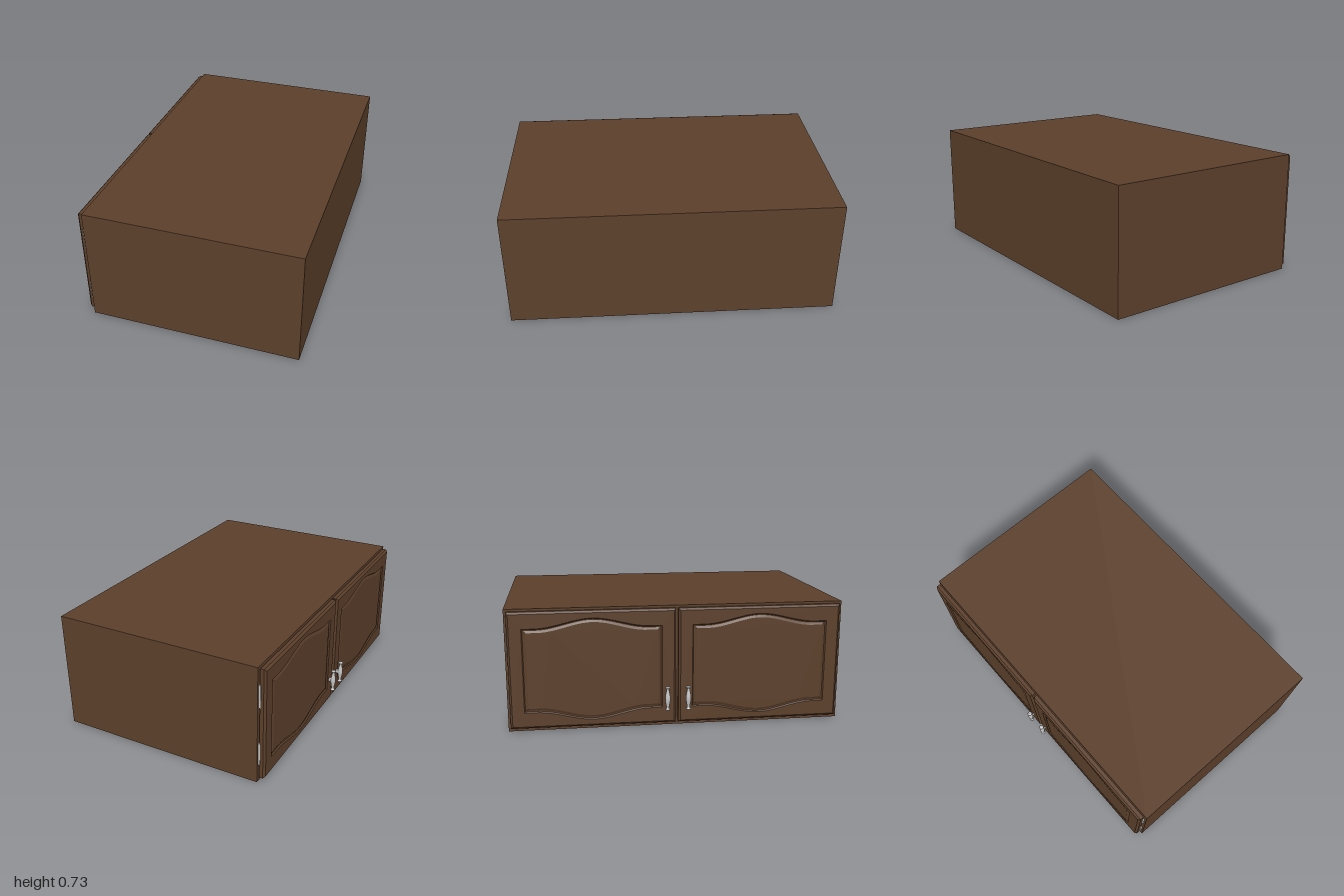
import * as THREE from 'three';
import { mergeGeometries } from 'three/addons/utils/BufferGeometryUtils.js';

const wood = new THREE.MeshStandardMaterial({ color: 0x5c402b });
wood.name = 'brown wood';
const metal = new THREE.MeshStandardMaterial({ color: 0xc4c4c4 });
metal.name = 'brushed metal';

const DOOR_W = 0.975, DOOR_H = 0.695, DOOR_D = 0.034;

function part(name, geometry, material, x = 0, y = 0, z = 0) {
  const mesh = new THREE.Mesh(geometry, material);
  mesh.name = name;
  mesh.position.set(x, y, z);
  return mesh;
}

// Counter-clockwise rectangle, shrunk by an inset
function rectangle(inset) {
  const w = DOOR_W / 2 - inset, h = DOOR_H / 2 - inset;
  return [[-w, -h], [w, -h], [w, h], [-w, h]].map(([x, y]) => new THREE.Vector2(x, y));
}

// Panel outline whose top and bottom edges swell in the middle
function archOutline(inset) {
  const w = 0.405 - inset, h = 0.25 - inset, n = 28, points = [];
  const swell = (t) => {
    const s = Math.max(0, 1 - Math.abs(t) / 0.82);
    return 0.055 * s * s * (3 - 2 * s);
  };
  for (let i = 0; i <= n; i++) {
    const t = -1 + (2 * i) / n;
    points.push(new THREE.Vector2(t * w, -h - swell(t)));
  }
  for (let i = n; i >= 0; i--) {
    const t = -1 + (2 * i) / n;
    points.push(new THREE.Vector2(t * w, h + swell(t)));
  }
  return points;
}

// Joins successive outlines, each at its own depth, with flat strips
function loft(rings) {
  const positions = [];
  for (let r = 0; r + 1 < rings.length; r++) {
    const [a, za] = rings[r], [b, zb] = rings[r + 1];
    a.forEach((p, i) => {
      const j = (i + 1) % a.length;
      const c = [[p, za], [a[j], za], [b[j], zb], [b[i], zb]];
      for (const k of [0, 1, 2, 0, 2, 3]) positions.push(c[k][0].x, c[k][0].y, c[k][1]);
    });
  }
  const g = new THREE.BufferGeometry();
  g.setAttribute('position', new THREE.Float32BufferAttribute(positions, 3));
  g.computeVertexNormals();
  return g;
}

function face(outline, z, hole) {
  const shape = new THREE.Shape(outline);
  if (hole) shape.holes.push(new THREE.Path(hole));
  const g = new THREE.ShapeGeometry(shape).toNonIndexed();
  g.deleteAttribute('uv');
  return g.translate(0, 0, z);
}

// Door slab with chamfered rim and a grooved, raised panel
function doorGeometry() {
  const g = mergeGeometries([
    face(rectangle(0), 0).rotateY(Math.PI),
    loft([[rectangle(0), 0], [rectangle(0), 0.022], [rectangle(0.012), DOOR_D]]),
    face(rectangle(0.012), DOOR_D, archOutline(0)),
    loft([
      [archOutline(0), DOOR_D], [archOutline(0.006), 0.026],
      [archOutline(0.012), 0.026], [archOutline(0.024), 0.032],
    ]),
    face(archOutline(0.024), 0.032),
  ]);
  return g.rotateY(-Math.PI / 2);
}

// Turned vertical grip on a short flattened stem
function createHandle() {
  const handle = new THREE.Group();
  handle.name = 'handle';
  const half = [[0.0155, 0], [0.015, 0.012], [0.0125, 0.028], [0.009, 0.045], [0.008, 0.056],
    [0.0095, 0.061], [0.014, 0.065], [0.0145, 0.068], [0.011, 0.0715], [0, 0.073]];
  const profile = [
    ...half.slice(1).reverse().map(([r, y]) => new THREE.Vector2(r, -y)),
    ...half.map(([r, y]) => new THREE.Vector2(r, y)),
  ];
  handle.add(part('grip', new THREE.LatheGeometry(profile, 24), metal));
  const stem = new THREE.CylinderGeometry(0.014, 0.02, 0.031, 20).rotateZ(Math.PI / 2);
  stem.rotateX(0).scale(-1, 1, 0.4);
  // Mirroring flips the winding, so swap it back
  const index = stem.index;
  for (let i = 0; i < index.count; i += 3) {
    const a = index.getX(i);
    index.setX(i, index.getX(i + 1));
    index.setX(i + 1, a);
  }
  handle.add(part('stem', stem, metal, 0.0145));
  return handle;
}

export function createModel() {
  const model = new THREE.Group();
  model.name = 'wallCabinet';

  // Carcass
  model.add(part('carcass', new THREE.BoxGeometry(1.29, 0.732, 2), wood, 0.04, 0.366, 0));

  // Two mirrored doors on the -x side, hinged at the outer ends
  const panel = doorGeometry();
  for (const side of [-1, 1]) {
    const door = new THREE.Group();
    door.name = side < 0 ? 'rearDoor' : 'frontDoor';
    door.add(part('doorPanel', panel, wood, -0.611, 0.372, side * 0.495 - 0.0025));

    const handle = createHandle();
    handle.position.set(-0.673, 0.183, side * 0.062 - 0.002);
    door.add(handle);

    for (const y of [0.183, 0.55]) {
      door.add(part('hinge', new THREE.BoxGeometry(0.012, 0.14, 0.03), metal, -0.61, y, side * 0.974));
    }
    model.add(door);
  }
  return model;
}
